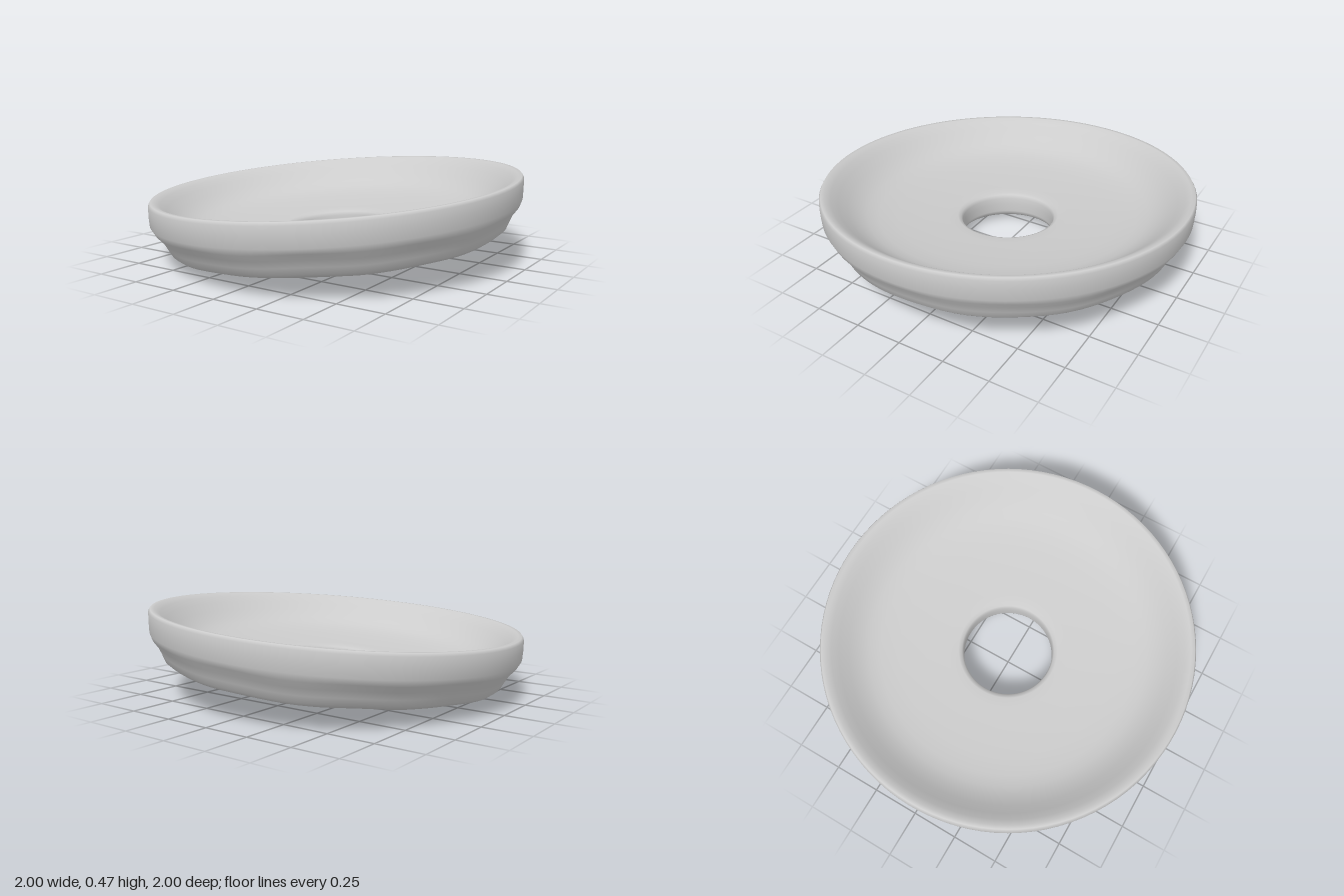
import * as THREE from 'three';
import { mergeVertices } from 'three/addons/utils/BufferGeometryUtils.js';

// Closed cross-section (radius, height): underside, outer wall, rim, bowl, hole
const PROFILE = [
  [0.248, 0.13], [0.248, 0.085], [0.253, 0.067], [0.27, 0.053], [0.31, 0.047], [0.45, 0.046],
  [0.61, 0.052], [0.76, 0.085], [0.89, 0.122], [0.913, 0.14], [0.93, 0.175], [0.95, 0.213],
  [0.98, 0.248], [0.996, 0.28], [1.0, 0.34], [0.999, 0.385], [0.99, 0.4], [0.97, 0.4],
  [0.94, 0.381], [0.905, 0.351], [0.86, 0.31], [0.81, 0.273], [0.76, 0.248], [0.7, 0.23],
  [0.6, 0.214], [0.45, 0.202], [0.33, 0.196], [0.275, 0.193], [0.256, 0.185], [0.248, 0.165],
  [0.248, 0.13],
];
const LEAN_X = 0.065, LEAN_Z = -0.04;

export function createModel() {
  const group = new THREE.Group();
  group.name = 'ringDish';

  let geometry = new THREE.LatheGeometry(PROFILE.map(([r, y]) => new THREE.Vector2(r, y)), 96);
  geometry.deleteAttribute('normal');
  geometry.deleteAttribute('uv');
  geometry = mergeVertices(geometry, 1e-4);

  // Slight hand-shaped waviness on the underside, then the lean of the whole dish
  const p = geometry.attributes.position;
  for (let i = 0; i < p.count; i++) {
    const x = p.getX(i), y = p.getY(i), z = p.getZ(i);
    const r = Math.hypot(x, z), a = Math.atan2(z, x);
    const under = r > 0.4 && y < 0.26 && (r > 0.9 || y < 0.14) ? 1 : 0;
    const wave = under * 0.0025 * (Math.sin(5 * a + 9 * r) + Math.sin(11 * a - 5 * r));
    const drop = Math.max(0, 0.3 - y);
    p.setXYZ(
      i,
      x + LEAN_X * drop,
      Math.max(0, y + wave + LEAN_X * x + LEAN_Z * z),
      z + LEAN_Z * drop,
    );
  }
  geometry.computeVertexNormals();

  const dish = new THREE.Mesh(
    geometry,
    new THREE.MeshStandardMaterial({ color: 0xcccccc }),
  );
  dish.name = 'dish';
  group.add(dish);
  return group;
}
